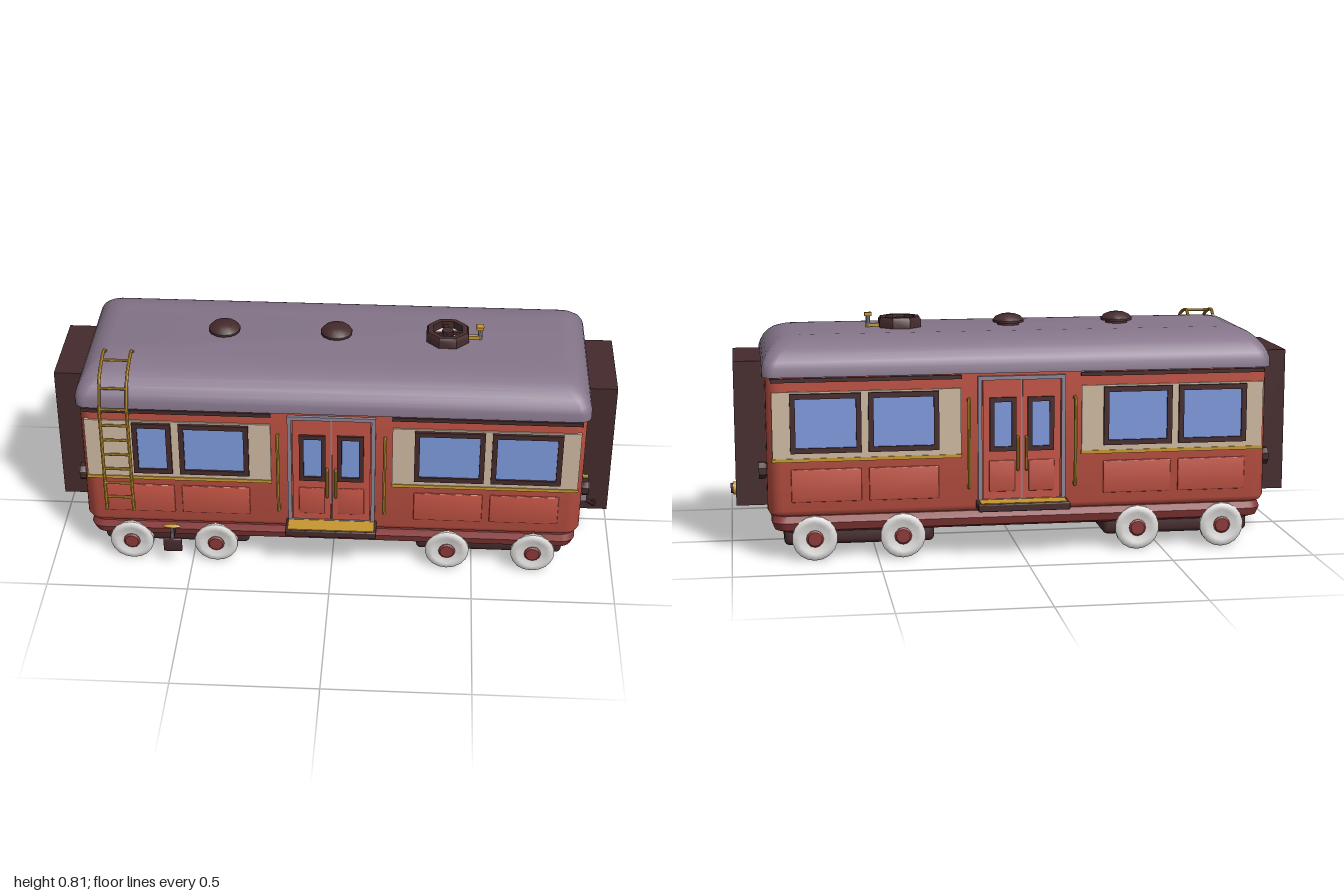
import * as THREE from 'three';
import { toCreasedNormals } from 'three/addons/utils/BufferGeometryUtils.js';
import { RoundedBoxGeometry } from 'three/addons/geometries/RoundedBoxGeometry.js';

const paint = (name, color) => Object.assign(new THREE.MeshStandardMaterial({ color }), { name });
const RED = paint('red paint', 0xc25344), MAROON = paint('maroon paint', 0x8a3838);
const ROOF = paint('roof mauve', 0x85758a), DARK = paint('dark brown', 0x452a2c);
const BRASS = paint('brass', 0xc7982f), GLASS = paint('window blue', 0x7d99dc);
const CREAM = paint('cream', 0xcdb8a0), WHITE = paint('wheel white', 0xdedcda);
const STEEL = paint('steel', 0x8b8595);

function add(parent, name, geo, mat, x = 0, y = 0, z = 0) {
  const mesh = new THREE.Mesh(toCreasedNormals(geo, 0.6), mat);
  mesh.name = name;
  mesh.position.set(x, y, z);
  parent.add(mesh);
  return mesh;
}
const box = (w, h, d) => new THREE.BoxGeometry(w, h, d);
const rounded = (w, h, d, r) => new RoundedBoxGeometry(w, h, d, 2, r);
const lathe = (pts, n, phi = 0) => new THREE.LatheGeometry(pts.map(p => new THREE.Vector2(...p)), n, phi);
const facing = geo => geo.rotateX(Math.PI / 2); // turn a y axis to z
const tube = (pts, r, n = 40) => new THREE.TubeGeometry(
  new THREE.CatmullRomCurve3(pts.map(p => new THREE.Vector3(...p)), false, 'catmullrom', 0.15), n, r, 8);

// Rectangular frame, border t, extruded forward by d
function frame(w, h, t, d) {
  const rect = (S, a, b) => new S([[-a, -b], [a, -b], [a, b], [-a, b]].map(p => new THREE.Vector2(...p)));
  const shape = rect(THREE.Shape, w / 2, h / 2);
  shape.holes.push(rect(THREE.Path, w / 2 - t, h / 2 - t));
  return new THREE.ExtrudeGeometry(shape, { depth: d, bevelEnabled: false });
}

// Stack of rounded rectangles [y, halfX, halfZ, radius], capped at both ends
function loft(rings) {
  const pos = [], idx = [], k = 6, n = 4 * (k + 1);
  for (const [y, hx, hz, r] of rings) {
    for (let c = 0; c < 4; c++) for (let i = 0; i <= k; i++) {
      const a = (c + i / k) * Math.PI / 2;
      const sx = c === 0 || c === 3 ? 1 : -1, sz = c < 2 ? -1 : 1;
      pos.push(sx * (hx - r) + r * Math.cos(a), y, sz * (hz - r) - r * Math.sin(a));
    }
  }
  const last = (rings.length - 1) * n;
  for (let j = 0; j < last; j += n) for (let i = 0; i < n; i++) {
    const m = (i + 1) % n;
    idx.push(j + i, j + m, j + n + m, j + i, j + n + m, j + n + i);
  }
  for (let i = 1; i < n - 1; i++) idx.push(0, i + 1, i, last, last + i, last + i + 1);
  const g = new THREE.BufferGeometry();
  g.setAttribute('position', new THREE.Float32BufferAttribute(pos, 3));
  g.setIndex(idx);
  return g;
}

function addWindow(parent, x, y, z, w, h, t) {
  add(parent, 'windowGlass', box(w - t, h - t, 0.004), GLASS, x, y, z + 0.003);
  add(parent, 'windowFrame', frame(w, h, t, 0.012), DARK, x, y, z);
}

// One long side, facing +z
function makeSide(isFront) {
  const g = new THREE.Group();
  g.name = isFront ? 'frontSide' : 'backSide';
  for (const s of [-1, 1]) {
    add(g, 'creamPanel', box(0.645, 0.235, 0.012), CREAM, s * 0.533, 0.473, 0.32);
    add(g, 'brassStrip', box(0.65, 0.012, 0.014), BRASS, s * 0.533, 0.355, 0.322);
    add(g, 'upperTrim', box(0.65, 0.014, 0.018), DARK, s * 0.533, 0.63, 0.32);
    for (const x of [0.408, 0.674]) {
      const narrow = isFront && s < 0 && x > 0.5;
      addWindow(g, narrow ? -0.623 : s * x, 0.482, 0.324, narrow ? 0.135 : 0.242, 0.205, 0.018);
      add(g, 'lowerPanel', rounded(0.24, 0.115, 0.016, 0.004), RED, s * x, 0.265, 0.317);
    }
    // Door leaf, pull handle and grab rail
    add(g, 'doorLeaf', box(0.132, 0.425, 0.014), RED, s * 0.069, 0.405, 0.319);
    addWindow(g, s * 0.066, 0.462, 0.322, 0.092, 0.188, 0.016);
    add(g, 'doorPanel', rounded(0.09, 0.11, 0.01, 0.003), RED, s * 0.069, 0.28, 0.324);
    add(g, 'doorHandle', tube([[0, 0, 0], [0, 0, 0.012], [0, 0.11, 0.012], [0, 0.11, 0]], 0.005), BRASS, s * 0.015, 0.305, 0.325);
    add(g, 'grabRail', tube([[0, 0.25, 0.318], [0, 0.25, 0.345], [0, 0.547, 0.345], [0, 0.547, 0.318]], 0.006), BRASS, s * 0.185);
  }
  add(g, 'doorFrame', frame(0.305, 0.445, 0.014, 0.016), STEEL, 0, 0.408, 0.315);
  add(g, 'doorGap', box(0.005, 0.425, 0.006), STEEL, 0, 0.405, 0.324);
  add(g, 'step', rounded(0.32, 0.027, 0.085, 0.005), DARK, 0, 0.182, 0.353);
  add(g, 'stepTread', box(0.3, 0.004, 0.065), BRASS, 0, 0.196, 0.357);
  for (const x of [-0.717, -0.414, 0.411, 0.715]) {
    add(g, 'wheel', facing(lathe([[0, -0.012], [0.05, -0.012], [0.056, -0.015], [0.07, -0.014], [0.078, -0.008],
      [0.078, 0.008], [0.07, 0.014], [0.056, 0.015], [0.05, 0.012], [0, 0.012]], 18)), WHITE, x, 0.08, 0.317);
    add(g, 'wheelHub', facing(lathe([[0, -0.017], [0.03, -0.017], [0.03, 0.014], [0.024, 0.019], [0, 0.019]], 12)), MAROON, x, 0.08, 0.317);
  }
  return g;
}

// One end, facing +z; the vestibule is a hollow passage
function makeEnd(isRight) {
  const g = new THREE.Group();
  g.name = isRight ? 'rightEnd' : 'leftEnd';
  add(g, 'vestibuleOuter', frame(0.33, 0.508, 0.018, 0.115), DARK, 0, 0.422, 0.866);
  add(g, 'vestibuleMiddle', frame(0.298, 0.476, 0.018, 0.098), DARK, 0, 0.422, 0.866);
  add(g, 'vestibuleInner', frame(0.266, 0.45, 0.008, 0.03), STEEL, 0, 0.422, 0.866);
  add(g, 'endDoorFrame', frame(0.252, 0.44, 0.016, 0.022), DARK, 0, 0.418, 0.866);
  add(g, 'vestibuleFloor', box(0.24, 0.006, 0.1), BRASS, 0, 0.199, 0.923);
  add(g, 'endDoor', box(0.22, 0.425, 0.014), RED, 0, 0.41, 0.872);
  add(g, 'endDoorGap', box(0.004, 0.42, 0.004), STEEL, 0, 0.41, 0.88);
  for (const s of [-1, 1]) {
    addWindow(g, s * 0.056, 0.506, 0.877, 0.09, 0.204, 0.01);
    add(g, 'endDoorHandle', rounded(0.01, 0.06, 0.014, 0.004), BRASS, s * 0.098, 0.365, 0.886);
    add(g, 'lampRim', facing(lathe([[0, 0], [0.024, 0], [0.031, 0.012], [0.031, 0.03], [0.025, 0.03], [0.025, 0.024], [0, 0.024]], 8, Math.PI / 8)), DARK, s * 0.225, 0.305, 0.872);
    add(g, 'lampLens', facing(new THREE.CylinderGeometry(0.025, 0.026, 0.008, 8, 1, false, Math.PI / 8)), CREAM, s * 0.225, 0.305, 0.9);
  }
  add(g, 'bufferRing', facing(new THREE.CylinderGeometry(0.024, 0.024, 0.018, 12)), BRASS, 0, 0.195, 0.982);
  add(g, 'bufferCap', facing(new THREE.CylinderGeometry(0.018, 0.02, 0.012, 12)), DARK, 0, 0.195, 0.994);
  if (isRight) {
    // Air hose with its valve
    add(g, 'airHose', tube([[-0.212, 0.25, 0.885], [-0.205, 0.225, 0.915], [-0.185, 0.203, 0.93], [-0.145, 0.203, 0.93],
      [-0.125, 0.225, 0.915], [-0.122, 0.25, 0.885]], 0.008), DARK);
    for (const x of [-0.212, -0.125]) add(g, 'hoseBracket', box(0.022, 0.026, 0.03), STEEL, x, 0.254, 0.885);
    add(g, 'valveStem', new THREE.CylinderGeometry(0.005, 0.005, 0.06, 8), STEEL, -0.175, 0.28, 0.895);
    add(g, 'valveBody', box(0.018, 0.012, 0.03), STEEL, -0.175, 0.253, 0.885);
    add(g, 'valveHandle', box(0.018, 0.014, 0.02), BRASS, -0.175, 0.31, 0.895);
  }
  return g;
}

export function createModel() {
  const car = new THREE.Group();
  car.name = 'railwayCarriage';

  // Shell
  add(car, 'body', loft([[0.155, 0.855, 0.3, 0.04], [0.162, 0.867, 0.312, 0.045], [0.178, 0.875, 0.32, 0.05], [0.645, 0.875, 0.32, 0.05]]), RED);
  add(car, 'roof', loft([[0.64, 0.886, 0.327, 0.04], [0.67, 0.886, 0.326, 0.04], [0.69, 0.88, 0.318, 0.042], [0.712, 0.869, 0.302, 0.045],
    [0.732, 0.853, 0.279, 0.05], [0.748, 0.834, 0.25, 0.055], [0.759, 0.81, 0.215, 0.06], [0.765, 0.785, 0.165, 0.06]]), ROOF);
  add(car, 'underframe', loft([[0.095, 0.83, 0.285, 0.04], [0.108, 0.852, 0.317, 0.045], [0.135, 0.862, 0.325, 0.045], [0.158, 0.855, 0.315, 0.045]]), MAROON);
  for (const s of [-1, 1]) add(car, 'bogie', rounded(0.52, 0.065, 0.556, 0.018), DARK, s * 0.56, 0.077, 0);

  // Sides and ends
  const back = makeSide(false), right = makeEnd(true), left = makeEnd(false);
  back.rotation.y = Math.PI;
  right.rotation.y = Math.PI / 2;
  left.rotation.y = -Math.PI / 2;
  car.add(makeSide(true), back, right, left);

  // Ladder bent over the eave
  const rail = [[0, 0.225, 0.343], [0, 0.45, 0.343], [0, 0.65, 0.343], [0, 0.73, 0.31], [0, 0.758, 0.275], [0, 0.775, 0.23], [0, 0.783, 0.18], [0, 0.762, 0.15]];
  const ladder = new THREE.Group();
  ladder.name = 'ladder';
  car.add(ladder);
  for (const x of [-0.795, -0.7]) {
    add(ladder, 'ladderRail', tube(rail, 0.006, 60), BRASS, x);
    for (const y of [0.245, 0.625]) add(ladder, 'ladderMount', box(0.01, 0.01, 0.03), BRASS, x, y, 0.33);
  }
  const rungs = [0.28, 0.34, 0.4, 0.46, 0.52, 0.58, 0.645].map(y => [y, 0.343]).concat([[0.715, 0.318], [0.775, 0.23]]);
  for (const [y, z] of rungs) add(ladder, 'ladderRung', new THREE.CylinderGeometry(0.005, 0.005, 0.095, 8).rotateZ(Math.PI / 2), BRASS, -0.7475, y, z);

  // Roof vents
  for (const x of [-0.395, 0]) {
    add(car, 'roofVent', lathe([[0, 0], [0.04, 0], [0.04, 0.012], [0.056, 0.014], [0.056, 0.022], [0.045, 0.035], [0.025, 0.043], [0, 0.045]], 14), DARK, x, 0.76, 0);
  }

  // Roof fan
  add(car, 'fanHousing', lathe([[0.055, 0], [0.08, 0], [0.08, 0.032], [0.073, 0.042], [0.055, 0.042], [0.055, 0]], 8, Math.PI / 8), DARK, 0.39, 0.76, 0);
  add(car, 'fanPlate', new THREE.CylinderGeometry(0.056, 0.056, 0.012, 16), WHITE, 0.39, 0.769, 0);
  add(car, 'fanHub', new THREE.CylinderGeometry(0.02, 0.022, 0.028, 8), DARK, 0.39, 0.783, 0);
  for (const turn of [0, Math.PI / 2]) add(car, 'fanSpoke', box(0.115, 0.01, 0.014), DARK, 0.39, 0.784, 0).rotation.y = turn + 0.15;

  // Whistle beside the fan
  add(car, 'whistlePipe', box(0.05, 0.012, 0.014), BRASS, 0.485, 0.772, 0);
  add(car, 'whistleStem', new THREE.CylinderGeometry(0.008, 0.008, 0.05, 8), STEEL, 0.503, 0.785, 0);
  add(car, 'whistleCap', box(0.026, 0.012, 0.026), BRASS, 0.503, 0.811, 0);

  // Brake lever on the front side
  add(car, 'brakeBox', rounded(0.066, 0.055, 0.014, 0.005), DARK, -0.565, 0.092, 0.361);
  add(car, 'brakeStem', new THREE.CylinderGeometry(0.006, 0.006, 0.06, 8), STEEL, -0.565, 0.142, 0.361);
  add(car, 'brakeArm', box(0.014, 0.014, 0.05), DARK, -0.565, 0.13, 0.338);
  add(car, 'brakeHandle', new THREE.SphereGeometry(0.01, 10, 6).scale(3.3, 0.8, 1), BRASS, -0.565, 0.172, 0.361);
  return car;
}
